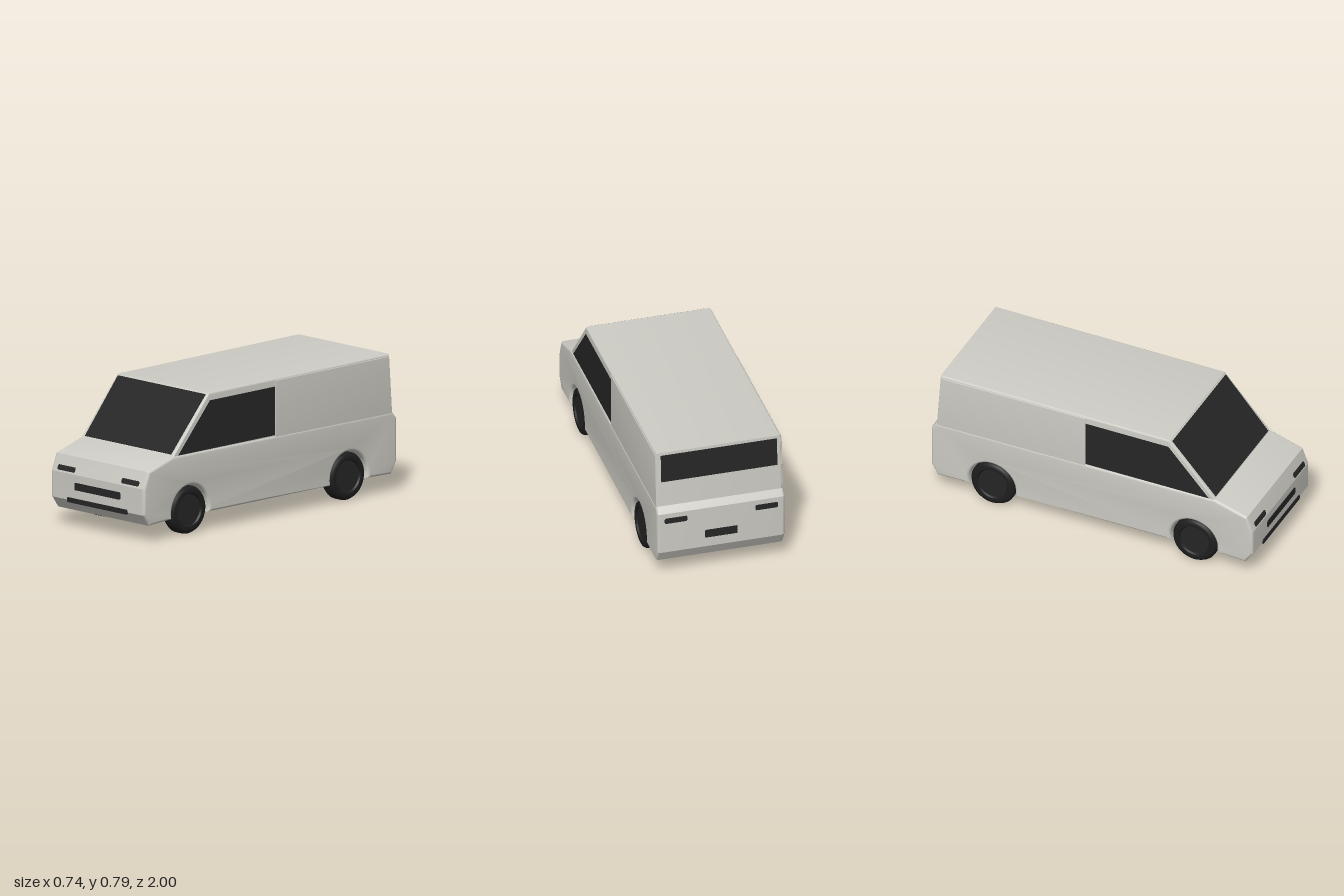
import * as THREE from 'three';
import { toCreasedNormals } from 'three/addons/utils/BufferGeometryUtils.js';

const paint = new THREE.MeshStandardMaterial({ color: 0xcccbc4 });
paint.name = 'bodyPaint';
const glass = new THREE.MeshStandardMaterial({ color: 0x262626 });
glass.name = 'darkGlass';
const rubber = new THREE.MeshStandardMaterial({ color: 0x1e1e1e });
rubber.name = 'rubber';
const hubGrey = new THREE.MeshStandardMaterial({ color: 0x252525 });
hubGrey.name = 'hubGrey';

const polygon = (pts) => new THREE.Shape(pts.map(([a, b]) => new THREE.Vector2(a, b)));

// Side profile in (z, y), extruded across x and centred
function slab(name, shape, width, bevel, material) {
  let geo = new THREE.ExtrudeGeometry(shape, {
    depth: width - 2 * bevel, curveSegments: 28, bevelEnabled: bevel > 0,
    bevelThickness: bevel, bevelSize: bevel, bevelOffset: -bevel, bevelSegments: 6,
  });
  geo.translate(0, 0, -(width - 2 * bevel) / 2);
  geo.rotateY(-Math.PI / 2);
  geo = toCreasedNormals(geo, 0.34);
  const mesh = new THREE.Mesh(geo, material);
  mesh.name = name;
  return mesh;
}

// Thin plate in local xy, facing local +z
function plate(name, pts, position, tilt, turn = 0) {
  const geo = new THREE.ExtrudeGeometry(polygon(pts), { depth: 0.006, bevelEnabled: false });
  geo.translate(0, 0, -0.002);
  const mesh = new THREE.Mesh(geo, glass);
  mesh.name = name;
  mesh.position.set(...position);
  mesh.rotation.set(tilt, turn, 0);
  return mesh;
}

// Rectangle with clipped corners, half sizes w and h
function clipped(w, h, c = 0.006) {
  return [[-w + c, -h], [w - c, -h], [w, -h + c], [w, h - c],
    [w - c, h], [-w + c, h], [-w, h - c], [-w, -h + c]];
}

function makeWheel(name, x, z) {
  const wheel = new THREE.Group();
  wheel.name = name;
  const profile = [[0, -0.045], [0.113, -0.045], [0.128, -0.039], [0.137, -0.024], [0.137, 0.024],
    [0.128, 0.039], [0.113, 0.045], [0.096, 0.043], [0.088, 0.03]];
  const tireGeo = new THREE.LatheGeometry(profile.map(([r, a]) => new THREE.Vector2(r, a)), 40);
  const tire = new THREE.Mesh(toCreasedNormals(tireGeo, 0.8), rubber);
  tire.name = 'tire';
  const hub = new THREE.Mesh(new THREE.CylinderGeometry(0.089, 0.089, 0.06, 40), hubGrey);
  hub.name = 'hub';
  hub.position.y = 0.004;
  wheel.add(tire, hub);
  wheel.position.set(x, 0.137, z);
  wheel.rotation.z = -Math.sign(x) * Math.PI / 2;
  return wheel;
}

export function createModel() {
  const van = new THREE.Group();
  van.name = 'van';

  // Lower body with wheel arches cut across the full width
  const lower = new THREE.Shape();
  lower.moveTo(-0.965, 0.457);
  lower.lineTo(-0.995, 0.42);
  lower.lineTo(-0.996, 0.17);
  lower.lineTo(-0.955, 0.1);
  // arches are traced from the rear forwards
  for (const z of [-0.62, 0.63]) lower.absarc(z, 0.137, 0.145, Math.PI + 0.22, -0.22, true);
  lower.lineTo(0.95, 0.095);
  lower.lineTo(0.996, 0.16);
  lower.lineTo(0.996, 0.31);
  lower.lineTo(0.96, 0.405);
  lower.lineTo(0.76, 0.466);
  van.add(slab('lowerBody', lower, 0.744, 0.018, paint));

  // Cabin and roof
  const cabin = polygon([[-0.967, 0.43], [0.79, 0.43], [0.48, 0.785], [-0.94, 0.791]]);
  van.add(slab('cabin', cabin, 0.73, 0.012, paint));

  // Slightly raised cargo sides
  const cargo = polygon([[-0.961, 0.44], [-0.04, 0.44], [-0.04, 0.777], [-0.937, 0.777]]);
  van.add(slab('cargoPanels', cargo, 0.738, 0.003, paint));

  // Side windows
  const sidePane = polygon([[-0.04, 0.464], [0.722, 0.464], [0.472, 0.742], [-0.04, 0.742]]);
  for (const side of [1, -1]) {
    const pane = slab(side > 0 ? 'leftWindow' : 'rightWindow', sidePane, 0.006, 0, glass);
    pane.position.x = side * 0.364;
    van.add(pane);
  }

  // Windscreen and rear window
  van.add(plate('windscreen', [[-0.342, 0.008], [0.342, 0.008], [0.348, 0.412], [-0.348, 0.412]],
    [0, 0.465, 0.7595], -Math.atan2(0.31, 0.355)));
  van.add(plate('rearWindow', [[-0.338, 0.155], [0.338, 0.155], [0.338, 0.32], [-0.338, 0.32]],
    [0, 0.455, -0.966], Math.atan2(0.027, 0.361), Math.PI));

  // Lamps, grille and plate
  for (const side of [1, -1]) {
    const label = side > 0 ? 'left' : 'right';
    van.add(plate(label + 'Headlight', clipped(0.068, 0.015), [side * 0.254, 0.334, 0.987],
      -Math.atan2(0.036, 0.095)));
    van.add(plate(label + 'TailLight', clipped(0.066, 0.016), [side * 0.264, 0.374, -0.996], 0, Math.PI));
  }
  van.add(plate('grille', clipped(0.181, 0.021), [0, 0.245, 0.996], 0));
  van.add(plate('lowerIntake', clipped(0.24, 0.014), [0, 0.161, 0.996], 0));
  van.add(plate('rearPlate', clipped(0.094, 0.024, 0.002), [0, 0.253, -0.996], 0, Math.PI));

  // Wheels
  for (const side of [1, -1]) {
    const label = side > 0 ? 'left' : 'right';
    van.add(makeWheel(label + 'FrontWheel', side * 0.32, 0.63));
    van.add(makeWheel(label + 'RearWheel', side * 0.32, -0.62));
  }
  return van;
}
